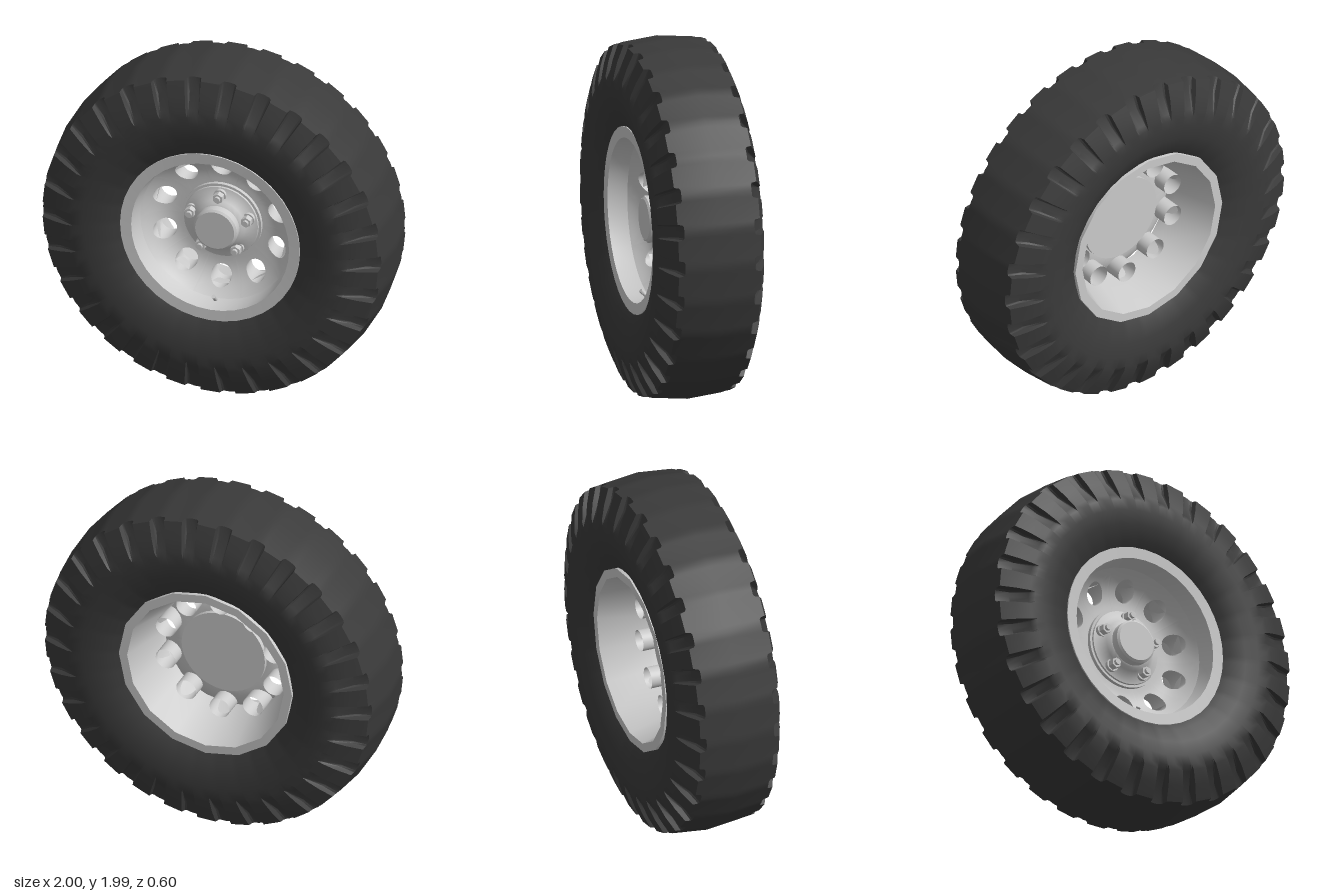
import * as THREE from 'three';
import { toCreasedNormals } from 'three/addons/utils/BufferGeometryUtils.js';

const rubber = new THREE.MeshStandardMaterial({ color: 0x3a3a3a });
const metal = new THREE.MeshStandardMaterial({ color: 0xcccccc, side: THREE.DoubleSide });

function mesh(name, geometry, material = metal) {
  const m = new THREE.Mesh(toCreasedNormals(geometry, 0.6), material);
  m.name = name;
  return m;
}

// Turn a profile of [radius, z] around the wheel's axle
function turned(name, profile, segments) {
  const geo = new THREE.LatheGeometry(profile.map(([r, z]) => new THREE.Vector2(r, z)), segments);
  return mesh(name, geo.rotateX(Math.PI / 2));
}

// Surface through rows of points, all rows of equal length
function skin(rows, closeRows, closeCols) {
  const n = rows[0].length, index = [];
  const iEnd = closeRows ? rows.length : rows.length - 1;
  const jEnd = closeCols ? n : n - 1;
  for (let i = 0; i < iEnd; i++) {
    for (let j = 0; j < jEnd; j++) {
      const i2 = (i + 1) % rows.length, j2 = (j + 1) % n;
      const a = i * n + j, b = i * n + j2, c = i2 * n + j2, d = i2 * n + j;
      index.push(a, b, c, a, c, d);
    }
  }
  const geo = new THREE.BufferGeometry();
  geo.setAttribute('position', new THREE.Float32BufferAttribute(rows.flat(2), 3));
  geo.setIndex(index);
  return geo;
}

// Tyre: 30-sided tread with a shoulder notch at each corner
function makeTyre() {
  const sides = 30, pitch = Math.PI * 2 / sides;
  // radius, z on a lug, then radius, z in a notch
  const half = [
    [0.50, 0.22, 0.50, 0.22], [0.56, 0.262, 0.56, 0.262], [0.64, 0.29, 0.64, 0.29],
    [0.72, 0.30, 0.72, 0.30], [0.78, 0.30, 0.78, 0.30], [0.81, 0.297, 0.81, 0.28],
    [0.89, 0.272, 0.90, 0.225], [0.975, 0.235, 0.979, 0.20],
  ];
  const back = half.map(([r, z, rn, zn]) => [r, -z, rn, -zn]).reverse();
  const profile = [...half, [1, 0, 1, 0], ...back];
  // position within one pitch, notch depth
  const steps = [[0, 1], [0.15, 1], [0.2, 0.8], [0.23, 0], [0.5, 0], [0.77, 0], [0.8, 0.8], [0.85, 1]];
  const rows = [];
  for (let k = 0; k < sides; k++) {
    for (const [t, depth] of steps) {
      const a = (k + t) * pitch;
      const flat = Math.cos(pitch / 2) / Math.cos((t - 0.5) * pitch);
      rows.push(profile.map(([r, z, rn, zn]) => {
        const R = (r + (rn - r) * depth) * flat;
        return [R * Math.cos(a), R * Math.sin(a), z + (zn - z) * depth];
      }));
    }
  }
  return mesh('tyre', skin(rows, true, false), rubber);
}

// Dish: ten sectors, each blending from a round hole to its border, with a tube behind the hole
const dishZ = (r) => 0.02 + 0.11 * Math.pow(Math.max(0, (r - 0.24) / 0.2), 2.5);

function makeDishSector() {
  const inner = 0.22, outer = 0.44, holeAt = 0.34, holeR = 0.06, perSide = 8, rings = 5;
  const border = [];
  const corners = [[1, -1], [1, 1], [-1, 1], [-1, -1]];
  corners.forEach(([u, v], s) => {
    const [u2, v2] = corners[(s + 1) % 4];
    for (let i = 0; i < perSide; i++) {
      border.push([u + (u2 - u) * i / perSide, v + (v2 - v) * i / perSide]);
    }
  });
  const columns = border.map(([u, v]) => {
    const dir = Math.atan2(v, u), a = u * Math.PI / 10;
    const r = inner + (outer - inner) * (v + 1) / 2;
    const hx = holeR * Math.cos(dir), hy = holeAt + holeR * Math.sin(dir);
    const column = [[hx, hy, -0.06]];
    for (let k = 0; k <= rings; k++) {
      const x = THREE.MathUtils.lerp(hx, r * Math.sin(a), k / rings);
      const y = THREE.MathUtils.lerp(hy, r * Math.cos(a), k / rings);
      column.push([x, y, dishZ(Math.hypot(x, y))]);
    }
    return column;
  });
  return skin(columns, true, false);
}

// Wheel nut: washer, hexagon and stud
function makeNut() {
  const nut = new THREE.Group();
  nut.name = 'wheelNut';
  const pieces = [['washer', 0.036, 0.02, 0.065, 20], ['hexNut', 0.03, 0.045, 0.09, 6], ['stud', 0.017, 0.02, 0.12, 12]];
  for (const [name, r, length, z, sides] of pieces) {
    const part = mesh(name, new THREE.CylinderGeometry(r, r, length, sides).rotateX(Math.PI / 2));
    part.position.z = z;
    nut.add(part);
  }
  return nut;
}

export function createModel() {
  const model = new THREE.Group();
  model.name = 'wheel';
  const wheel = new THREE.Group();
  wheel.name = 'wheelAssembly';
  wheel.position.y = 1;
  model.add(wheel);

  wheel.add(makeTyre());

  // Rim: smooth front lip, coarser rear barrel
  wheel.add(turned('frontRim', [[0.44, 0.13], [0.452, 0.18], [0.457, 0.238], [0.52, 0.242], [0.52, 0.19]], 40));
  wheel.add(turned('rearBarrel', [[0.385, 0.06], [0.395, 0], [0.47, -0.25], [0.52, -0.25], [0.52, -0.19]], 16));

  // Pierced dish
  const dish = new THREE.Group();
  dish.name = 'dish';
  const sector = makeDishSector();
  for (let i = 0; i < 10; i++) {
    const part = mesh('dishSector', sector);
    part.rotation.z = i * Math.PI / 5;
    dish.add(part);
  }
  wheel.add(dish);

  // Hub with flange, cone and cap
  wheel.add(turned('hub', [
    [0, -0.01], [0.25, -0.01], [0.25, 0.015], [0.23, 0.02], [0.23, 0.042], [0.216, 0.042],
    [0.214, 0.052], [0.18, 0.06], [0.15, 0.085], [0.135, 0.10], [0.125, 0.105],
    [0.125, 0.15], [0.113, 0.16], [0, 0.16],
  ], 40));

  // Five wheel nuts
  for (let i = 0; i < 5; i++) {
    const a = Math.PI / 2 + i * Math.PI * 2 / 5;
    const nut = makeNut();
    nut.position.set(0.172 * Math.cos(a), 0.172 * Math.sin(a), 0);
    wheel.add(nut);
  }

  // Tyre valve at the bottom of the rim
  const valve = new THREE.Group();
  valve.name = 'valve';
  const stem = mesh('valveStem', new THREE.CylinderGeometry(0.009, 0.014, 0.05, 12));
  const cap = mesh('valveCap', new THREE.CylinderGeometry(0.012, 0.012, 0.022, 12));
  cap.position.y = 0.03;
  valve.add(stem, cap);
  valve.position.set(0, -0.435, 0.15);
  valve.rotation.x = Math.PI / 4;
  wheel.add(valve);

  return model;
}
